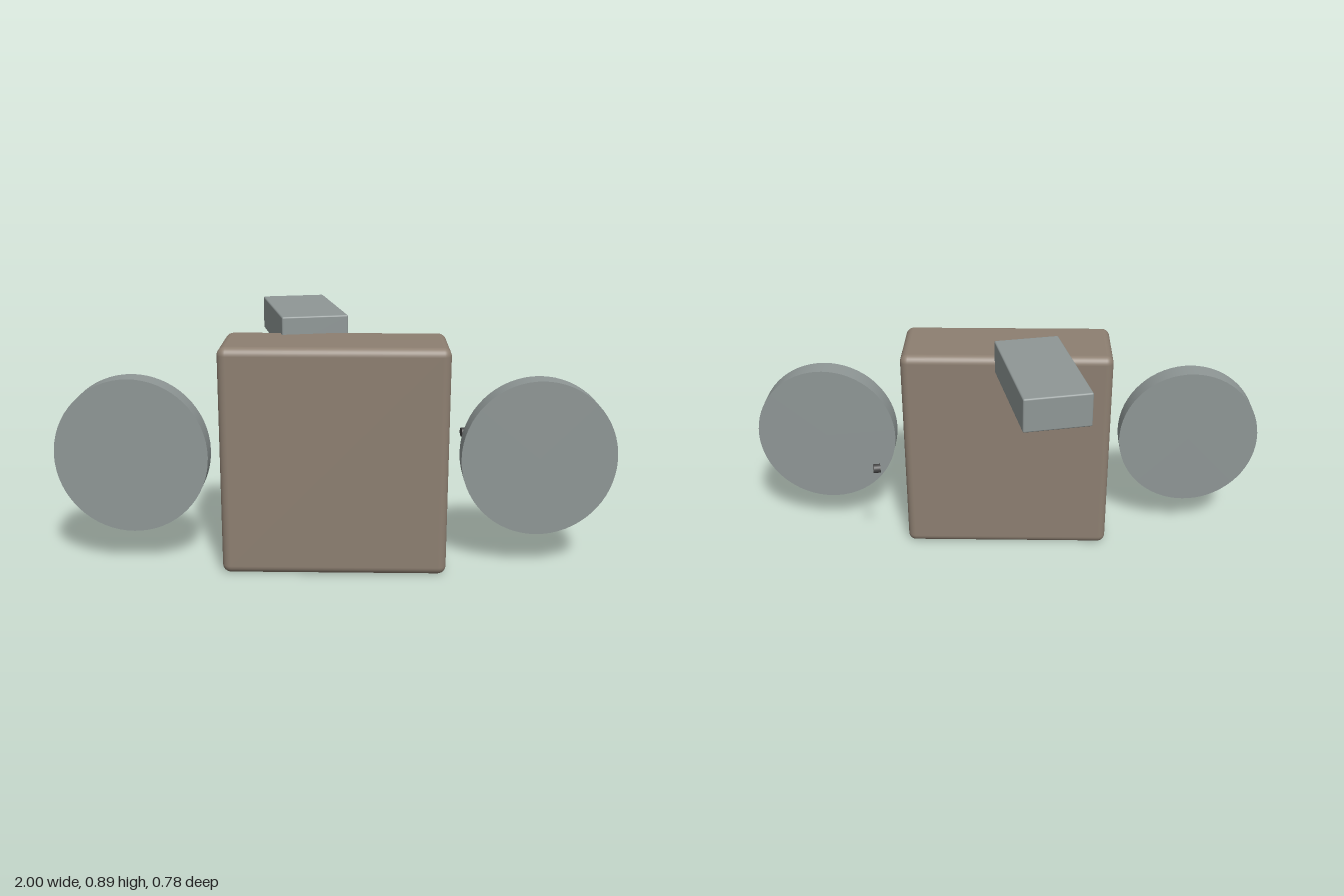
import * as THREE from 'three';
import { RoundedBoxGeometry } from 'three/addons/geometries/RoundedBoxGeometry.js';

export function createModel() {
  const model = new THREE.Group();
  const brown = new THREE.MeshStandardMaterial({ color: 0x8d7f71 });
  const steel = new THREE.MeshStandardMaterial({ color: 0x8f9796 });
  const dark = new THREE.MeshStandardMaterial({ color: 0x444444 });

  const add = (name, geometry, material, x, y, z, turn = 0) => {
    const mesh = new THREE.Mesh(geometry, material);
    mesh.name = name;
    mesh.position.set(x, y, z);
    mesh.rotation.y = turn;
    model.add(mesh);
    return mesh;
  };

  // Main block with softened edges
  add('body', new RoundedBoxGeometry(0.8, 0.824, 0.31, 4, 0.03), brown, 0, 0.412, 0.235);

  // Discs on either side, slightly taller than wide
  const disc = new THREE.CylinderGeometry(0.275, 0.275, 0.083, 64);
  disc.rotateX(Math.PI / 2).scale(1, 1.027, 1);
  for (const [name, side] of [['leftDisc', 1], ['rightDisc', -1]]) {
    add(name, disc, steel, side * 0.725, 0.413, 0.266);
  }

  // Turned slab resting on the top rear edge
  add('topSlab', new RoundedBoxGeometry(0.243, 0.126, 0.497, 2, 0.006), steel, -0.127, 0.825, -0.122, 0.22);

  // Small peg floating behind the left side
  const peg = new THREE.CylinderGeometry(0.017, 0.017, 0.027, 24).rotateZ(Math.PI / 2);
  add('peg', peg, dark, 0.492, 0.413, -0.035, 0.2);

  return model;
}
